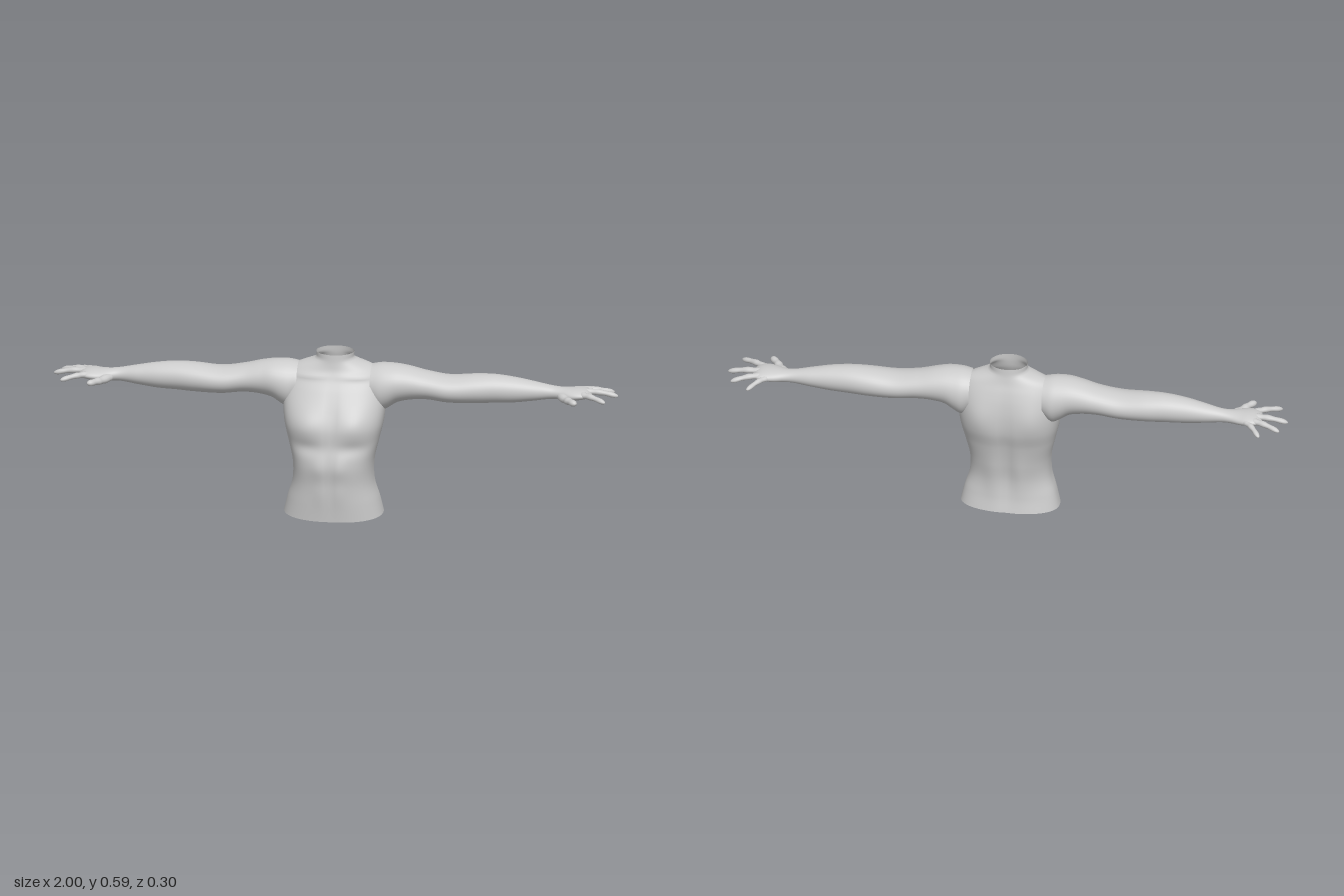
import * as THREE from 'three';

const material = new THREE.MeshStandardMaterial({ color: 0xcccccc, side: THREE.DoubleSide });
const V = (x, y, z) => new THREE.Vector3(x, y, z);
const spow = (v, p) => Math.sign(v) * Math.abs(v) ** p;
const bump = (x, y, cx, cy, sx, sy) => Math.exp(-(((x - cx) / sx) ** 2) - ((y - cy) / sy) ** 2);

// Smooth interpolation through table rows; the first column is the parameter.
function sampler(rows) {
  const width = rows[0].length - 1;
  const spline = new THREE.CubicInterpolant(
    rows.map(r => r[0]), rows.flatMap(r => r.slice(1)), width, new Array(width));
  return t => [...spline.evaluate(t)];
}

// Skin a list of rings with quads.
function loft(name, rings) {
  const n = rings[0].length, index = [];
  for (let i = 0; i < rings.length - 1; i++) {
    for (let j = 0; j < n; j++) {
      const k = (j + 1) % n, a = i * n + j, b = i * n + k, c = a + n, d = b + n;
      index.push(a, c, b, b, c, d);
    }
  }
  const geometry = new THREE.BufferGeometry().setFromPoints(rings.flat());
  geometry.setIndex(index);
  geometry.computeVertexNormals();
  const mesh = new THREE.Mesh(geometry, material);
  mesh.name = name;
  return mesh;
}

// Mirror rings to one side, keeping the faces pointing outwards.
const onSide = (rings, s) => s > 0 ? rings
  : rings.map(r => r.map(p => V(-p.x, p.y, p.z)).reverse());

// Torso rows: height, half width, front z, back z, z of widest point, roundness
const torsoAt = sampler([
  [0.00, 0.176, 0.125, -0.090, 0.005, 0.85],
  [0.06, 0.163, 0.131, -0.080, 0.005, 0.85],
  [0.13, 0.144, 0.136, -0.077, 0.010, 0.82],
  [0.20, 0.143, 0.144, -0.090, 0.010, 0.80],
  [0.28, 0.160, 0.136, -0.108, 0.005, 0.78],
  [0.34, 0.174, 0.131, -0.124, 0.000, 0.78],
  [0.40, 0.180, 0.108, -0.126, -0.010, 0.80],
  [0.46, 0.178, 0.076, -0.118, -0.025, 0.85],
  [0.50, 0.170, 0.051, -0.107, -0.030, 0.92],
  [0.53, 0.150, 0.038, -0.096, -0.035, 1.05],
  [0.548, 0.110, 0.034, -0.091, -0.035, 1.10],
  [0.56, 0.074, 0.032, -0.088, -0.030, 1.00],
  [0.586, 0.067, 0.030, -0.085, -0.028, 1.00],
]);

// Muscle relief added to the front and back of the torso
function relief(x, y, front) {
  const ax = Math.abs(x);
  if (front) {
    return 0.012 * bump(ax, y, 0.085, 0.355, 0.055, 0.05)     // chest
      - 0.007 * bump(ax, y, 0, 0.37, 0.018, 0.09)             // breastbone
      - 0.007 * bump(ax, y, 0.08, 0.27, 0.06, 0.025)          // below the chest
      + 0.006 * bump(ax, y, 0.035, 0.20, 0.028, 0.04)         // abdomen
      + 0.004 * bump(ax, y, 0.03, 0.11, 0.03, 0.05)
      - 0.004 * bump(ax, y, 0, 0.15, 0.012, 0.12)
      + 0.006 * bump(ax, y, 0.10, 0.51 , 0.07, 0.010);        // collarbone
  }
  return -0.010 * bump(ax, y, 0.095, 0.40, 0.05, 0.07)        // shoulder blades
    - 0.006 * bump(ax, y, 0.05, 0.14, 0.03, 0.09)             // lower back
    + 0.010 * bump(ax, y, 0, 0.26, 0.022, 0.19);              // spine furrow
}

function torso() {
  const rings = [];
  for (let i = 0; i <= 90; i++) {
    const y = 0.586 * i / 90, [hw, zf, zb, zc, p] = torsoAt(y), ring = [];
    for (let j = 0; j < 72; j++) {
      const a = j / 72 * Math.PI * 2, c = Math.cos(a), s = Math.sin(a);
      const x = hw * spow(c, p), reach = s > 0 ? zf - zc : zc - zb;
      const z = zc + reach * spow(s, p) + relief(x, y, s > 0) * Math.min(1, Math.abs(s) * 1.5);
      const hem = 0.01 * (1 - Math.max(0, s)) * Math.max(0, 1 - y / 0.1);
      ring.push(V(x, y + hem, z));
    }
    rings.push(ring);
  }
  return loft('torso', rings);
}

// Arm and palm rows: x, top y, bottom y, front z, back z
const armAt = sampler([
  [0.13, 0.540, 0.395, 0.040, -0.105],
  [0.16, 0.546, 0.375, 0.049, -0.112],
  [0.185, 0.547, 0.385, 0.050, -0.110],
  [0.22, 0.545, 0.408, 0.046, -0.105],
  [0.26, 0.538, 0.418, 0.038, -0.102],
  [0.32, 0.523, 0.422, 0.031, -0.100],
  [0.40, 0.511, 0.414, 0.033, -0.100],
  [0.50, 0.517, 0.414, 0.024, -0.099],
  [0.56, 0.518, 0.417, 0.016, -0.094],
  [0.63, 0.511, 0.420, 0.007, -0.087],
  [0.70, 0.498, 0.428, -0.006, -0.080],
  [0.77, 0.484, 0.437, -0.018, -0.072],
  [0.80, 0.481, 0.437, -0.010, -0.075],
  [0.83, 0.481, 0.436, 0.006, -0.084],
  [0.86, 0.482, 0.441, 0.012, -0.094],
  [0.885, 0.479, 0.446, 0.008, -0.093],
  [0.90, 0.472, 0.451, -0.004, -0.082],
  [0.908, 0.463, 0.459, -0.025, -0.062],
]);

function arm(side) {
  const rings = [];
  for (let i = 0; i <= 110; i++) {
    const x = 0.13 + 0.778 * i / 110, [top, bottom, front, back] = armAt(x), ring = [];
    for (let j = 0; j < 36; j++) {
      const a = j / 36 * Math.PI * 2;
      ring.push(V(x, (top + bottom) / 2 + (top - bottom) / 2 * Math.cos(a),
        (front + back) / 2 - (front - back) / 2 * Math.sin(a)));
    }
    rings.push(ring);
  }
  rings.push(rings.at(-1).map(() => V(0.909, 0.461, -0.044)));
  return loft('arm', onSide(rings, side));
}

// Finger: a tapered, slightly knuckled tube with a rounded tip
function finger(name, points, radius, side) {
  const curve = new THREE.CatmullRomCurve3(points.map(p => V(...p)));
  const up = V(0, 1, 0), rings = [];
  for (let i = 0; i <= 20; i++) {
    const t = 1 - (1 - i / 20) ** 1.5, centre = curve.getPoint(t);
    const across = up.clone().cross(curve.getTangent(t)).normalize();
    const knuckle = 1 + 0.08 * Math.cos((t - 0.5) * Math.PI * 6);
    const tip = Math.sqrt(Math.max(0, 1 - Math.max(0, (t - 0.88) / 0.12) ** 2));
    const r = radius * (1 - 0.35 * t) * knuckle * tip;
    rings.push(Array.from({ length: 12 }, (_, j) => {
      const a = j / 12 * Math.PI * 2;
      return centre.clone().addScaledVector(up, r * 0.9 * Math.cos(a))
        .addScaledVector(across, r * Math.sin(a));
    }));
  }
  return loft(name, onSide(rings, side));
}

// Name, path from knuckle to tip, base radius
const FINGERS = [
  ['littleFinger', [[0.85, 0.461, -0.075], [0.88, 0.459, -0.105], [0.915, 0.445, -0.150]], 0.012],
  ['ringFinger', [[0.87, 0.464, -0.070], [0.92, 0.463, -0.086], [0.98, 0.450, -0.107]], 0.0135],
  ['middleFinger', [[0.87, 0.466, -0.045], [0.93, 0.467, -0.046], [1.0, 0.455, -0.045]], 0.014],
  ['indexFinger', [[0.87, 0.464, -0.012], [0.91, 0.466, 0.013], [0.965, 0.457, 0.045]], 0.0135],
  ['thumb', [[0.80, 0.455, -0.020], [0.825, 0.453, 0.018], [0.842, 0.456, 0.045], [0.865, 0.457, 0.073]], 0.017],
];

export function createModel() {
  const model = new THREE.Group();
  model.name = 'upperBody';
  model.add(torso());
  for (const side of [1, -1]) {
    const limb = new THREE.Group();
    limb.name = side > 0 ? 'leftArm' : 'rightArm';
    limb.add(arm(side));
    for (const [name, path, radius] of FINGERS) limb.add(finger(name, path, radius, side));
    model.add(limb);
  }
  return model;
}
